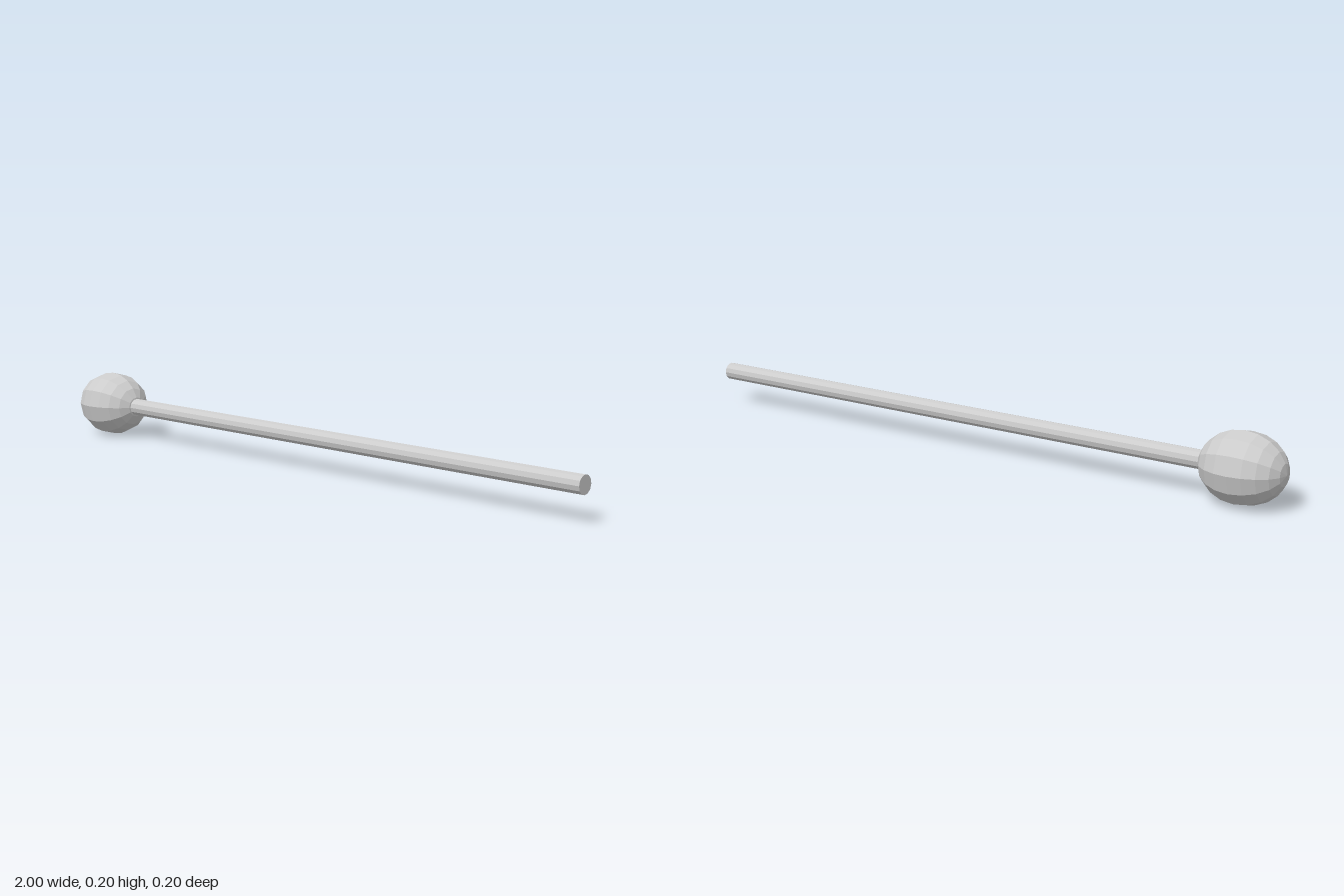
import * as THREE from 'three';

const CENTRE_Y = 0.102;

export function createModel() {
  const group = new THREE.Group();
  const material = new THREE.MeshStandardMaterial({ color: 0xcccccc, flatShading: true });

  // Lays a y-axis geometry along x and adds it as a named part
  const addPart = (name, geometry, x) => {
    geometry.rotateZ(-Math.PI / 2);
    const mesh = new THREE.Mesh(geometry, material);
    mesh.name = name;
    mesh.position.set(x, CENTRE_Y, 0);
    group.add(mesh);
  };

  // Slightly elongated faceted head, poles along the stick
  const head = new THREE.SphereGeometry(1, 12, 10);
  head.scale(0.102, 0.125, 0.102);
  addPart('head', head, -0.875);

  // Slim round stick, its inner end sunk into the head
  const start = -0.78, end = 1;
  addPart('stick', new THREE.CylinderGeometry(0.027, 0.027, end - start, 12), (start + end) / 2);

  return group;
}
